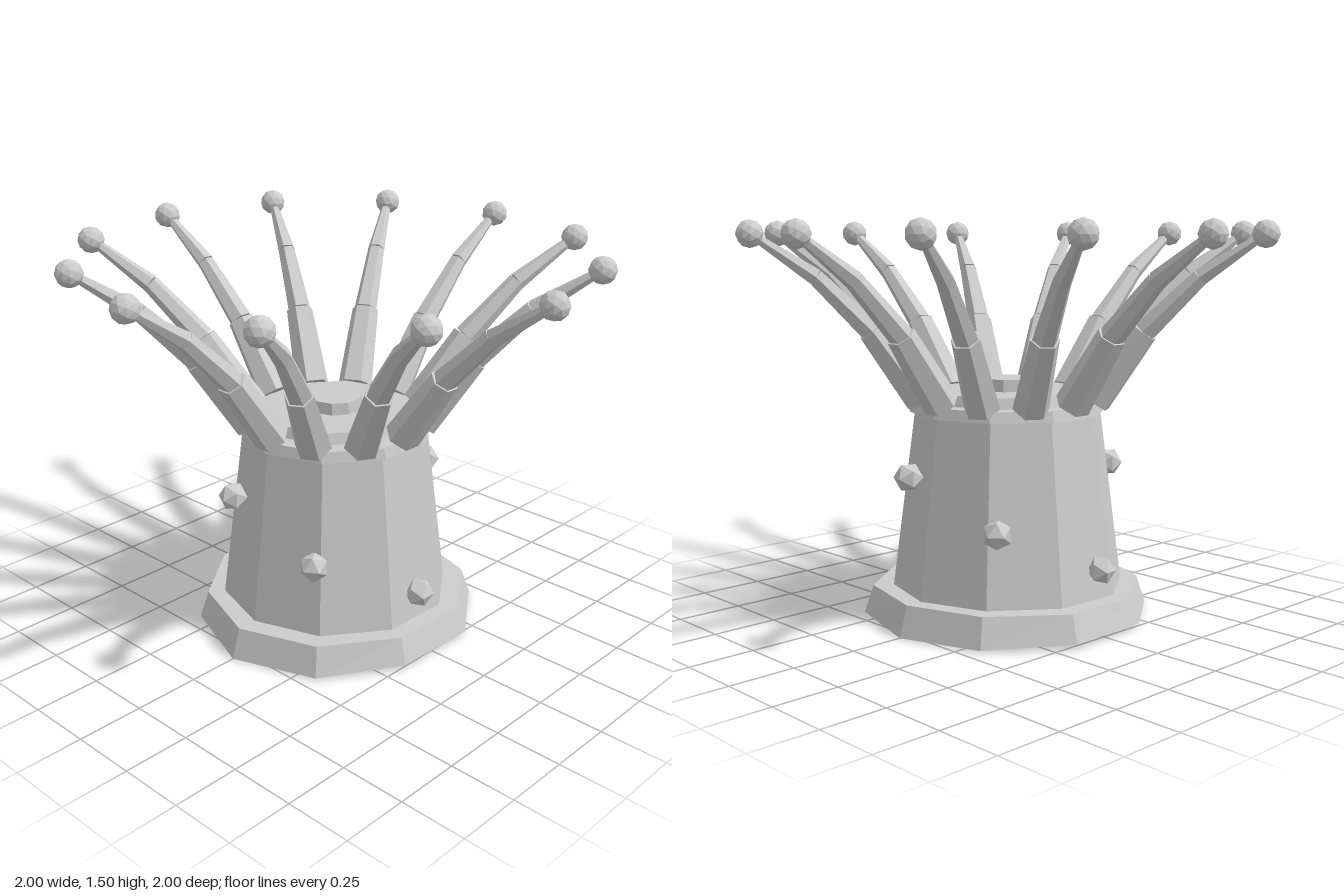
import * as THREE from 'three';

export function createModel() {
  const group = new THREE.Group();
  const grey = new THREE.MeshStandardMaterial({ color: 0xcccccc, flatShading: true });
  grey.name = 'pale grey';

  const add = (parent, name, geometry, x = 0, y = 0, z = 0) => {
    const mesh = new THREE.Mesh(geometry, grey);
    mesh.name = name;
    mesh.position.set(x, y, z);
    parent.add(mesh);
    return mesh;
  };
  // Ten-sided ring standing between two heights
  const drum = (name, rTop, rBottom, y0, y1) =>
    add(group, name, new THREE.CylinderGeometry(rTop, rBottom, y1 - y0, 10), 0, (y0 + y1) / 2, 0);

  // Foot with a slightly uneven lower edge
  const foot = drum('foot', 0.515, 0.55, 0.01, 0.115);
  const p = foot.geometry.attributes.position;
  for (let i = 0; i < p.count; i++) {
    const x = p.getX(i), z = p.getZ(i);
    if (Math.hypot(x, z) < 0.1) continue;
    const a = Math.atan2(x, z);
    const k = 1 + 0.015 * Math.sin(3 * a + 1);
    const dy = p.getY(i) < 0 ? 0.01 * Math.cos(2 * a + Math.PI) : 0.004 * Math.sin(2 * a);
    p.setXYZ(i, x * k, p.getY(i) + dy, z * k);
  }

  // Column, rim and mouth
  drum('column', 0.355, 0.445, 0.1, 0.79);
  drum('rim', 0.365, 0.375, 0.78, 0.82);
  drum('oralDisc', 0.285, 0.3, 0.81, 0.86);
  drum('mouth', 0.1, 0.105, 0.85, 0.905);

  // Tentacles: three tapering hexagonal segments and a round tip
  const path = [[0.335, 0.83], [0.52, 1.09], [0.72, 1.29], [0.94, 1.44]];
  const radii = [[0.068, 0.053], [0.046, 0.034], [0.035, 0.017]];
  for (let i = 0; i < 12; i++) {
    const tentacle = new THREE.Group();
    tentacle.name = 'tentacle';
    tentacle.rotation.y = (i * Math.PI) / 6;
    radii.forEach(([r0, r1], j) => {
      const [x0, y0] = path[j], [x1, y1] = path[j + 1];
      const length = Math.hypot(x1 - x0, y1 - y0);
      const segment = add(tentacle, 'tentacleSegment',
        new THREE.CylinderGeometry(r1, r0, length, 6), (x0 + x1) / 2, (y0 + y1) / 2, 0);
      segment.rotation.z = -Math.atan2(x1 - x0, y1 - y0);
    });
    add(tentacle, 'tentacleTip', new THREE.IcosahedronGeometry(0.051, 1), 0.949, 1.445, 0);
    group.add(tentacle);
  }

  // Bumps winding around the column, one radian apart
  const bumpRadius = [0.432, 0.415, 0.415];
  for (let i = 0; i < 6; i++) {
    const r = bumpRadius[i % 3];
    const bump = add(group, 'bump', new THREE.IcosahedronGeometry(0.056, 0),
      Math.cos(i) * r, 0.225 + 0.165 * (i % 3), Math.sin(i) * r);
    bump.rotation.y = -i;
  }
  return group;
}
